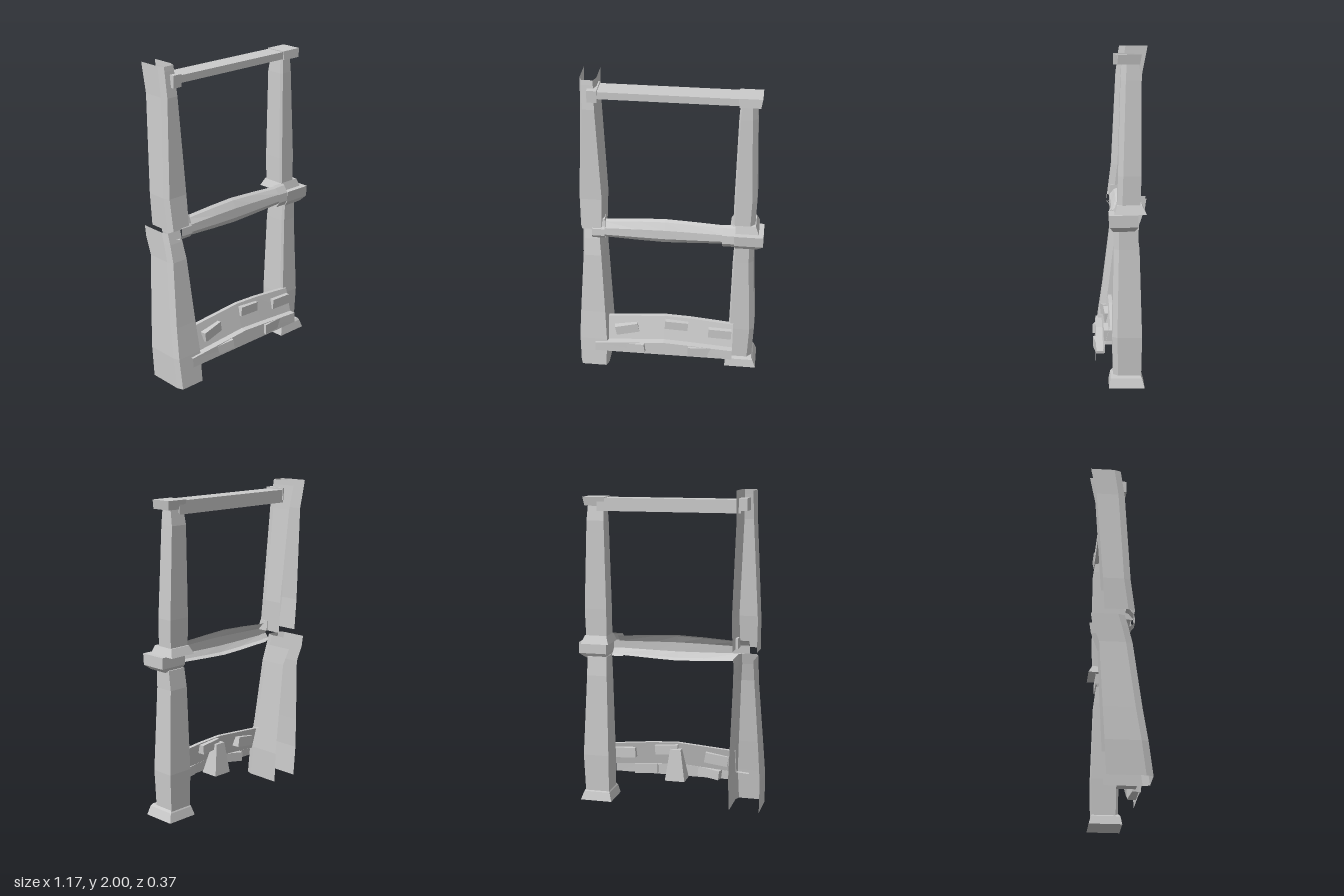
import * as THREE from 'three';

const material = new THREE.MeshStandardMaterial({ color: 0xcccccc, flatShading: true, side: THREE.DoubleSide });

// Skins a row of matching cross-sections; closed sections wrap round, caps fill both ends
function loft(name, rings, closed = true, caps = true) {
  const pos = [];
  const tri = (a, b, c) => pos.push(...a, ...b, ...c);
  const n = rings[0].length;
  for (let i = 0; i + 1 < rings.length; i++) {
    for (let j = 0; j < (closed ? n : n - 1); j++) {
      const k = (j + 1) % n;
      const [a, b, c, d] = [rings[i][j], rings[i][k], rings[i + 1][k], rings[i + 1][j]];
      tri(a, b, c);
      tri(a, c, d);
    }
  }
  if (closed && caps) {
    const first = rings[0], last = rings[rings.length - 1];
    for (let j = 1; j + 1 < n; j++) {
      tri(first[0], first[j + 1], first[j]);
      tri(last[0], last[j], last[j + 1]);
    }
  }
  const geometry = new THREE.BufferGeometry();
  geometry.setAttribute('position', new THREE.Float32BufferAttribute(pos, 3));
  geometry.computeVertexNormals();
  const mesh = new THREE.Mesh(geometry, material);
  mesh.name = name;
  return mesh;
}

// Level rectangle, counted so that lofting upwards faces outwards
const rect = ([y, x0, x1, z0, z1]) => [[x0, y, z0], [x0, y, z1], [x1, y, z1], [x1, y, z0]];
const block = (name, ...levels) => loft(name, levels.map(rect));

// Hewn post, bevelled on its outer front edge
const solidPost = (name, levels) => loft(name, levels.map(([y, x0, x1, z0, z1]) => [
  [x0, y, z0], [x0, y, z1 - 0.015], [x0 + 0.01, y, z1], [x1 - 0.03, y, z1], [x1, y, z1 - 0.03], [x1, y, z0],
]));

// Post open at the back, with bevelled front edges
const channelPost = (name, levels) => loft(name, levels.map(([y, x0, x1, z0, z1]) => [
  [x0, y, z0], [x0, y, z1 - 0.04], [x0 + 0.015, y, z1], [x1 - 0.015, y, z1], [x1, y, z1 - 0.04], [x1, y, z0],
]), false);

export function createModel() {
  const model = new THREE.Group();
  model.name = 'timberFrame';

  // Right-hand open posts: [y, x0, x1, back z, front z]
  model.add(channelPost('lowerChannelPost', [
    [0, -0.585, -0.395, -0.09, 0.17], [0.2, -0.59, -0.39, -0.1, 0.145], [0.4, -0.58, -0.4, -0.11, 0.115],
    [0.81, -0.555, -0.42, -0.13, 0.065], [0.92, -0.555, -0.43, -0.17, 0.04], [0.99, -0.555, -0.43, -0.18, 0.02],
  ]));
  model.add(channelPost('upperChannelPost', [
    [1.02, -0.56, -0.41, -0.1, 0.08], [1.22, -0.565, -0.405, -0.11, 0.055], [1.82, -0.54, -0.435, -0.15, 0.025],
    [1.97, -0.54, -0.44, -0.18, 0.005], [2, -0.54, -0.44, -0.185, 0],
  ]));

  // Left-hand solid posts, foot and collar
  model.add(solidPost('lowerPost', [
    [0.06, 0.39, 0.545, -0.1, 0.065], [0.3, 0.39, 0.555, -0.105, 0.07], [0.82, 0.4, 0.53, -0.09, 0.06],
    [0.94, 0.405, 0.53, -0.075, 0.06],
  ]));
  model.add(solidPost('upperPost', [
    [1.07, 0.395, 0.53, -0.095, 0.04], [1.25, 0.395, 0.535, -0.1, 0.035], [1.8, 0.405, 0.515, -0.1, 0.02],
    [1.89, 0.41, 0.51, -0.085, 0.015],
  ]));
  model.add(block('postFoot', [0, 0.37, 0.575, -0.12, 0.09], [0.055, 0.385, 0.555, -0.105, 0.08],
    [0.07, 0.395, 0.545, -0.095, 0.07]));
  model.add(block('postCollar', [0.93, 0.41, 0.545, -0.06, 0.065], [0.96, 0.405, 0.585, -0.08, 0.085],
    [1.03, 0.405, 0.585, -0.08, 0.09]));
  model.add(block('upperPostFoot', [1.03, 0.375, 0.555, -0.13, 0.055], [1.08, 0.395, 0.535, -0.105, 0.04]));

  // Top beam with a sloping underside and its end caps
  model.add(loft('topBeam', [-0.45, 0.45].map((x) => [
    [x, 1.86, -0.095], [x, 1.94, -0.095], [x, 1.94, 0.03], [x, 1.895, 0.03],
  ])));
  model.add(block('topBeamRightCap', [1.875, -0.49, -0.43, -0.1, 0.04], [1.95, -0.49, -0.43, -0.1, 0.04]));
  model.add(block('topBeamLeftCap', [1.89, 0.405, 0.53, -0.09, 0.04], [1.945, 0.4, 0.54, -0.1, 0.035]));

  // Middle rail: rounded half shell, swelling at the centre
  const shell = (x, s, dz = 0) => [[0.072, 0.02], [0.062, 0.04], [0.025, 0.068], [-0.025, 0.072], [-0.055, 0.05], [-0.065, 0.02]]
    .map(([y, z]) => [x, 1 + y * s, z + dz]);
  model.add(loft('middleRail', [
    shell(-0.42, 0.9), shell(-0.2, 1.1), shell(-0.03, 1.2), shell(0.12, 1.1), shell(0.36, 0.9),
  ], false));
  model.add(loft('railLeftSleeve', [shell(0.33, 1.1, 0.015), shell(0.41, 1.1, 0.015)], false));
  model.add(loft('railRightSleeve', [shell(-0.485, 0.92, 0.015), shell(-0.405, 0.92, 0.015)], false));
  model.add(block('railRightEnd', [1.02, -0.425, -0.4, 0.0, 0.075], [1.085, -0.425, -0.405, 0.0, 0.06]));

  // Plinth: two arched tiers, open behind
  model.add(loft('plinthUpperTier', [[-0.4, 0.345, 0.185], [-0.03, 0.375, 0.215], [0.14, 0.367, 0.205], [0.42, 0.34, 0.185]]
    .map(([x, top, bottom]) => [[x, top, 0.055], [x, top, 0.08], [x, bottom, 0.122]]), false));
  model.add(loft('plinthLowerTier', [[-0.48, 0.18], [-0.03, 0.215], [0.14, 0.205], [0.42, 0.185]]
    .map(([x, top]) => [[x, top, 0.12], [x, top, 0.163], [x, 0.12, 0.167]]), false));

  // Bricks: x, y, z, width, height, roll, yaw
  [
    [-0.275, 0.275, 0.095, 0.15, 0.065, 0.17, 0.12],
    [0.05, 0.32, 0.085, 0.15, 0.06, -0.08, 0.05],
    [0.335, 0.28, 0.09, 0.15, 0.065, -0.05, 0.02],
    [-0.22, 0.165, 0.145, 0.145, 0.06, 0.12, -0.17],
    [0.205, 0.165, 0.145, 0.15, 0.065, -0.04, 0.12],
  ].forEach(([x, y, z, w, h, roll, yaw], i) => {
    const brick = new THREE.Mesh(new THREE.BoxGeometry(w, h, 0.055), material);
    brick.name = `brick${i + 1}`;
    brick.position.set(x, y, z);
    brick.rotation.set(0, yaw, roll);
    model.add(brick);
  });

  // Tapered stone behind the plinth
  model.add(block('backStone', [0.125, -0.08, 0.05, 0.02, 0.14], [0.33, -0.05, 0.02, 0.04, 0.08]));

  return model;
}
